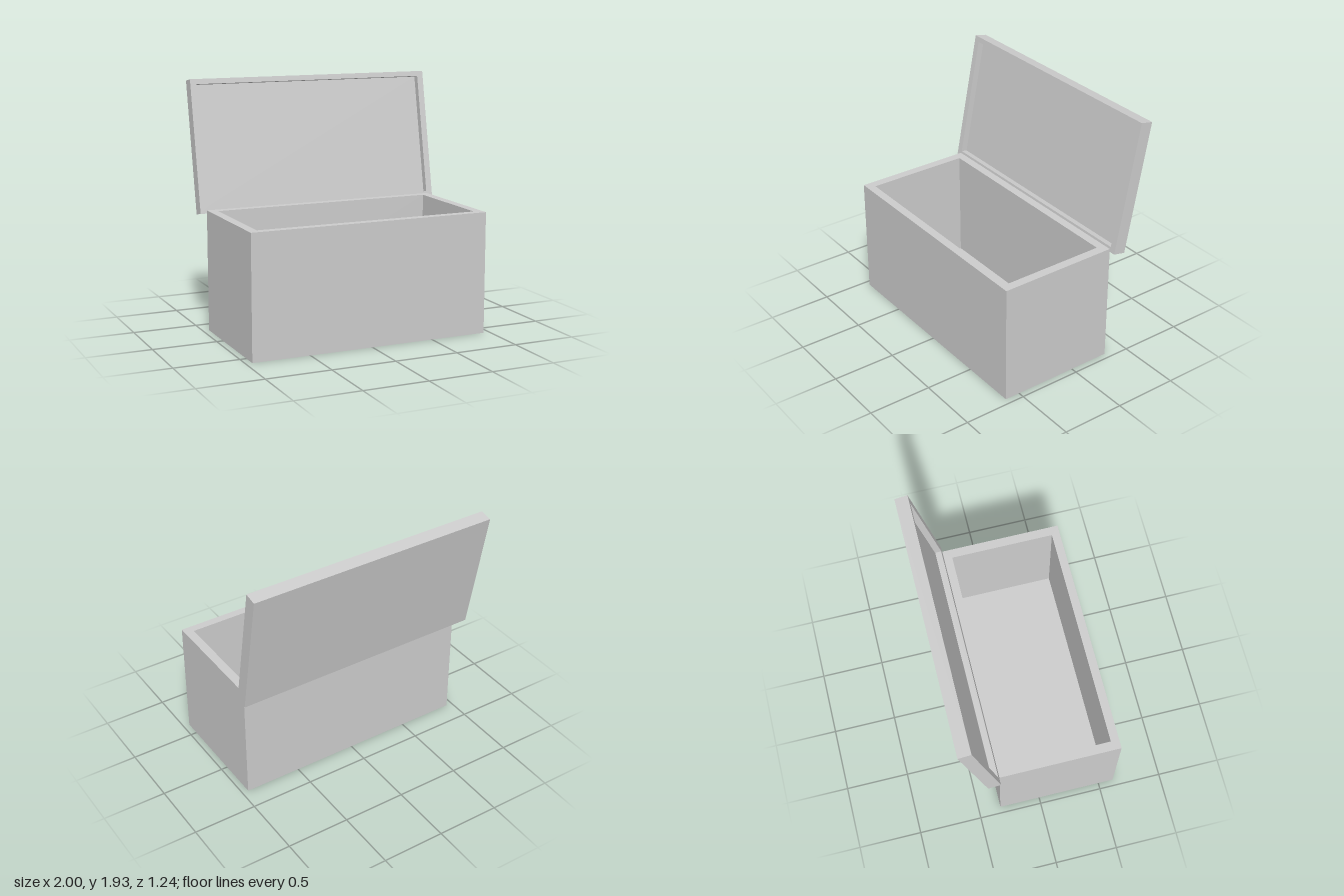
import * as THREE from 'three';

const material = new THREE.MeshStandardMaterial({ color: 0xcccccc, flatShading: true });

// Open-topped rectangular tray, standing on y = 0, as one closed shell
function trayGeometry(width, height, depth, wallX, wallZ, floor) {
  const loop = (w, d, y) =>
    [[-1, 1], [1, 1], [1, -1], [-1, -1]].map(([sx, sz]) => [sx * w / 2, y, sz * d / 2]);
  const innerW = width - 2 * wallX, innerD = depth - 2 * wallZ;
  const loops = [
    loop(width, depth, 0), loop(width, depth, height), // outside
    loop(innerW, innerD, height), loop(innerW, innerD, floor), // rim and inside
  ];
  const points = [];
  const quad = (a, b, c, d) => points.push(...a, ...b, ...c, ...a, ...c, ...d);
  for (let k = 0; k < loops.length - 1; k++) {
    for (let i = 0; i < 4; i++) {
      const j = (i + 1) % 4;
      quad(loops[k][i], loops[k][j], loops[k + 1][j], loops[k + 1][i]);
    }
  }
  quad(...[...loops[0]].reverse()); // underside
  quad(...loops[3]); // inner floor
  const geometry = new THREE.BufferGeometry();
  geometry.setAttribute('position', new THREE.Float32BufferAttribute(points, 3));
  geometry.computeVertexNormals();
  return geometry;
}

export function createModel() {
  const model = new THREE.Group();
  model.name = 'openChest';

  // Deep box
  const box = new THREE.Mesh(trayGeometry(1.9, 0.945, 0.945, 0.07, 0.065, 0.07), material);
  box.name = 'box';
  box.position.z = 0.148;
  model.add(box);

  // Shallow hollow lid, pivoted on its lower front edge and leaning back
  const lid = new THREE.Mesh(
    trayGeometry(2, 0.1, 1.03, 0.05, 0.04, 0.05).translate(0, -0.1, -0.515), material);
  lid.name = 'lid';
  lid.position.set(0, 0.92, -0.325);
  lid.rotation.x = THREE.MathUtils.degToRad(79);
  model.add(lid);

  return model;
}
